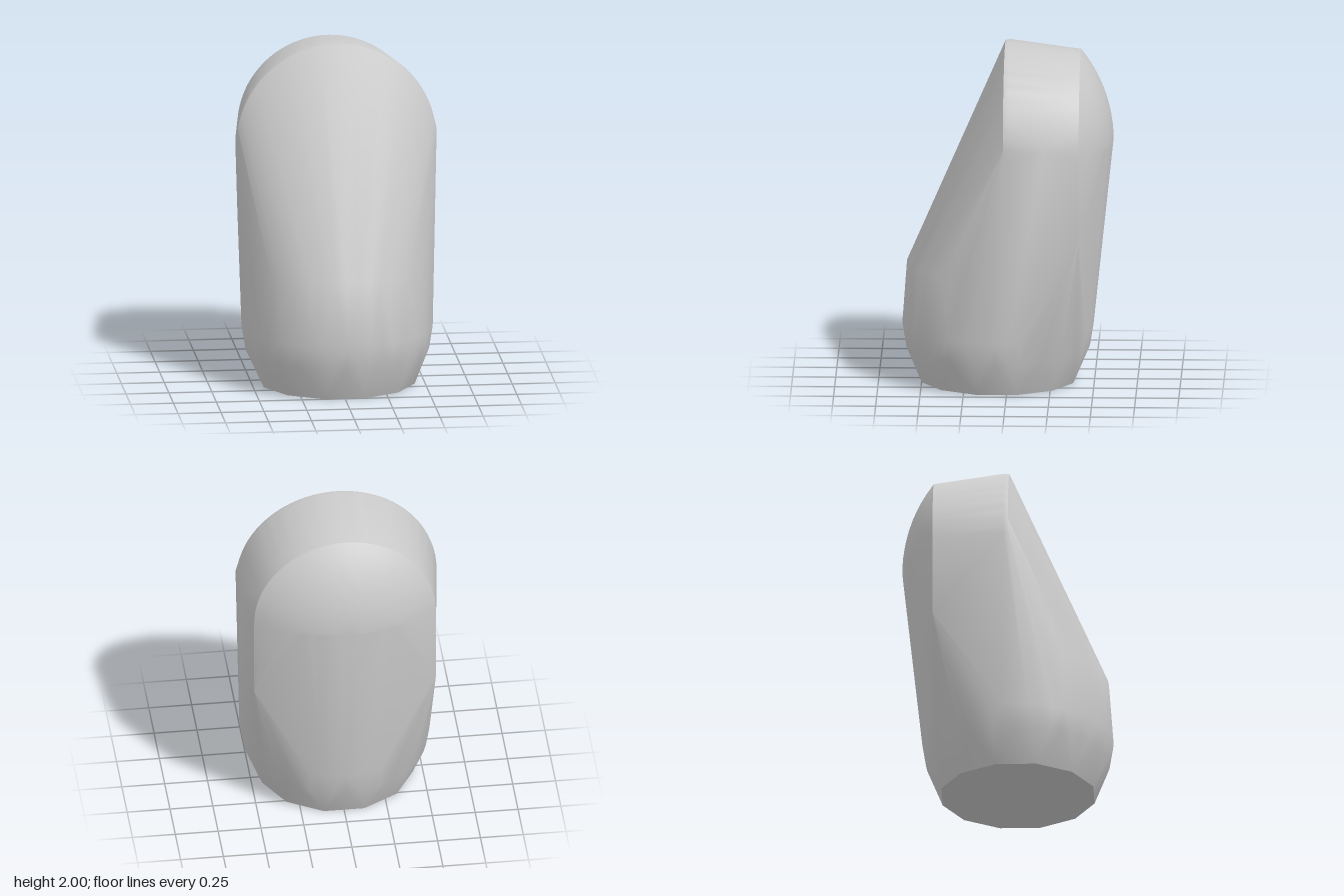
import * as THREE from 'three';
import { ConvexGeometry } from 'three/addons/geometries/ConvexGeometry.js';
import { toCreasedNormals } from 'three/addons/utils/BufferGeometryUtils.js';

const TAU = Math.PI * 2;
const BASE_Z = 0.06;   // centre of the round foot
const CROWN_Y = 1.415; // centre of the arched top

// Horizontal ring around the foot axis
function ring(y, radius, sides, offset = 0) {
  return Array.from({ length: sides }, (_, i) => {
    const a = offset + (i / sides) * TAU;
    return new THREE.Vector3(radius * Math.sin(a), y, BASE_Z + radius * Math.cos(a));
  });
}

// Upright half circle forming the arched top
function arch(z, radius, steps = 40) {
  return Array.from({ length: steps + 1 }, (_, i) => {
    const a = (i / steps) * Math.PI;
    return new THREE.Vector3(radius * Math.cos(a), CROWN_Y + radius * Math.sin(a), z);
  });
}

export function createModel() {
  const group = new THREE.Group();
  group.name = 'roundedShell';

  // Foot: twelve-sided base flaring into smooth rings
  const points = [
    ...ring(0, 0.455, 12, TAU / 24),
    ...ring(0.2, 0.533, 48),
    ...ring(0.33, 0.554, 48),
    ...ring(0.7, 0.527, 48),
  ];

  // Crown: slightly softened front rim, tapering to the back rim
  points.push(...arch(0.018, 0.581), ...arch(-0.01, 0.585), ...arch(-0.42, 0.53));

  // Domed back: upper half of a spherical cap
  const R = 0.834, zc = -0.61 + R;
  for (let k = 0; k < 10; k++) {
    const r = 0.53 * k / 10;
    points.push(...arch(zc - Math.sqrt(R * R - r * r), r, k ? 32 : 0));
  }

  // Lower corners of the back rim
  for (const s of [-1, 1]) {
    points.push(new THREE.Vector3(s * 0.53, 0.93, -0.42), new THREE.Vector3(s * 0.515, 0.88, -0.418));
  }

  // Flat on the left flank
  points.push(new THREE.Vector3(0.585, 1.48, 0.015), new THREE.Vector3(0.585, 1.47, -0.22));

  const body = new THREE.Mesh(
    toCreasedNormals(new ConvexGeometry(points), 0.55),
    new THREE.MeshStandardMaterial({ color: 0xcccccc })
  );
  body.name = 'body';
  group.add(body);
  return group;
}
